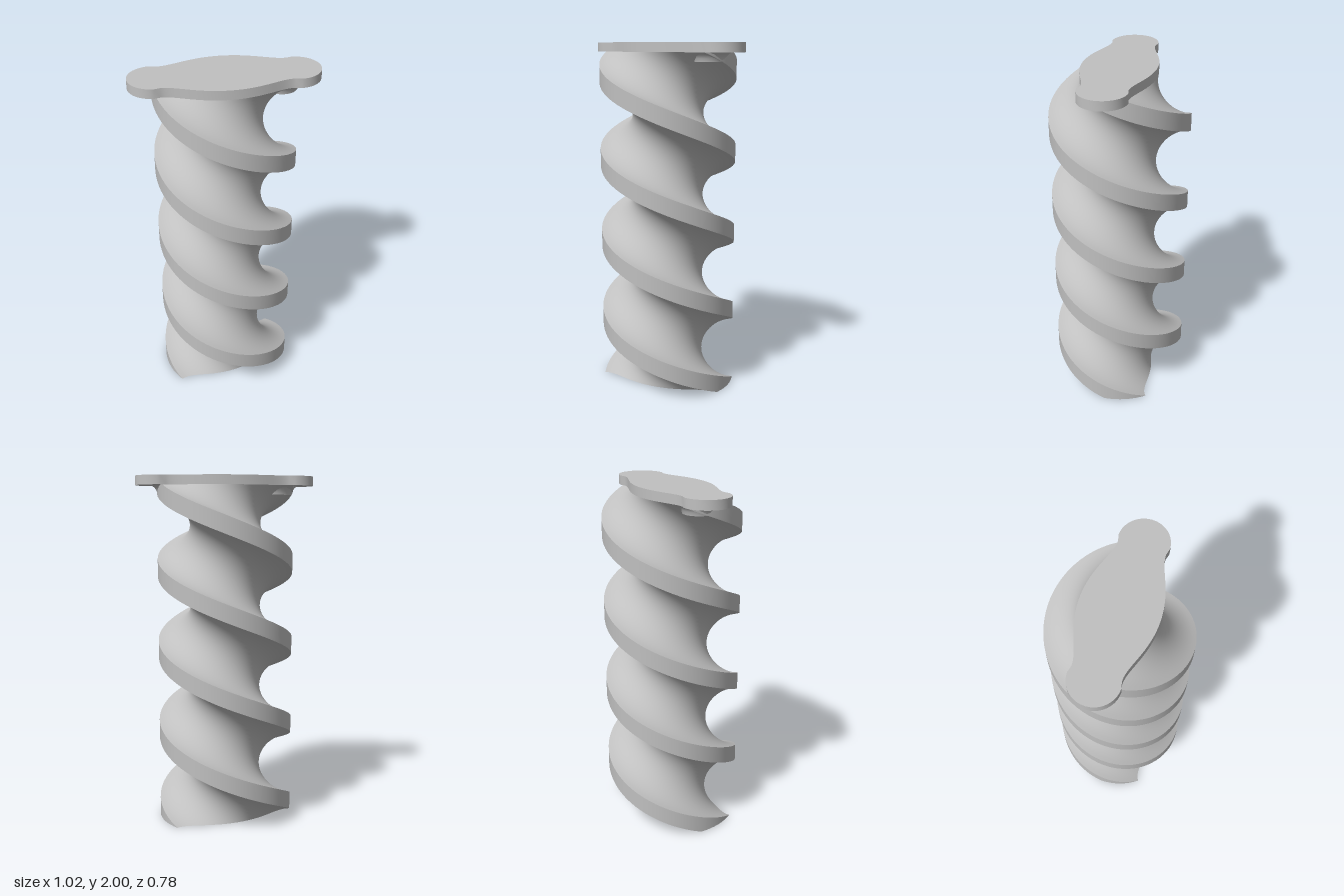
import * as THREE from 'three';
import { toCreasedNormals } from 'three/addons/utils/BufferGeometryUtils.js';

const R = 0.39;            // outer radius of the ridges
const GROOVE = 0.187;      // radius of the round groove
const TURN = Math.PI / 0.475; // twist per unit of height (two starts)
const CAP_Y = 1.947;       // underside of the cap
const HALF_LAND = Math.PI / 2 - GROOVE * TURN; // half angle of a ridge face

// Radius of the cross-section at angle s, with ridges at 0 and PI
function radiusAt(s) {
  const a = ((s % Math.PI) + Math.PI) % Math.PI - Math.PI / 2;
  const u = a / TURN;
  return R - Math.sqrt(Math.max(0, GROOVE * GROOVE - u * u));
}

// Angles across one groove, denser near its steep walls
function grooveAngles(start, n = 28) {
  return Array.from({ length: n + 1 }, (_, i) =>
    start + Math.PI / 2 - GROOVE * TURN * Math.cos((Math.PI * i) / n));
}

// A twisted strip running up the shaft through the given angles
function helixStrip(angles) {
  const nx = angles.length - 1;
  const ny = 150;
  const geo = new THREE.PlaneGeometry(1, 1, nx, ny);
  const p = geo.attributes.position;
  for (let j = 0; j <= ny; j++) {
    for (let i = 0; i <= nx; i++) {
      const y = CAP_Y * (1 - j / ny);
      const s = angles[nx - i];
      const phi = s + (y - CAP_Y) * TURN;
      const r = radiusAt(s);
      p.setXYZ(j * (nx + 1) + i, r * Math.cos(phi), y, r * Math.sin(phi));
    }
  }
  geo.computeVertexNormals();
  return geo;
}

const polar = (s, r, cx = 0) => new THREE.Vector2(cx + r * Math.cos(s), r * Math.sin(s));

export function createModel() {
  const model = new THREE.Group();
  const grey = new THREE.MeshStandardMaterial({ color: 0xc0c0c0 });
  grey.name = 'plain grey';
  const add = (name, geo) => {
    const mesh = new THREE.Mesh(geo, grey);
    mesh.name = name;
    model.add(mesh);
    return mesh;
  };

  const sectionPoints = [];
  const capPoints = [];
  for (const start of [0, Math.PI]) {
    // Ridge faces and round grooves
    const land = Array.from({ length: 9 }, (_, i) => start + HALF_LAND * (i / 4 - 1));
    const groove = grooveAngles(start);
    add('helicalRidge', helixStrip(land));
    add('helicalGroove', helixStrip(groove));

    // Outline of the lower end face, turned by the twist
    for (const s of [...land, ...groove.slice(1, -1)]) {
      sectionPoints.push(polar(s - CAP_Y * TURN, radiusAt(s)));
    }

    // Outline of the cap: round lug, then the groove curve
    const cx = start ? -0.38 : 0.38;
    for (let i = 0; i <= 20; i++) {
      capPoints.push(polar(start + THREE.MathUtils.degToRad(-90 + 9 * i), 0.132, cx));
    }
    for (const s of groove.slice(1, -1)) capPoints.push(polar(s, radiusAt(s)));
  }

  // Flat lower end with the bore opening
  const boreRadius = 0.125;
  const end = new THREE.Shape(sectionPoints);
  end.holes.push(new THREE.Path().absarc(0, 0, boreRadius, 0, Math.PI * 2, true));
  add('lowerEnd', new THREE.ShapeGeometry(end, 24).rotateX(Math.PI / 2));

  // Blind bore, facing inwards
  const bore = new THREE.LatheGeometry([
    new THREE.Vector2(0, 1.7),
    new THREE.Vector2(boreRadius, 1.7),
    new THREE.Vector2(boreRadius, 0),
  ], 48);
  add('bore', toCreasedNormals(bore, 0.6));

  // Cap plate with two rounded lugs
  const cap = new THREE.ExtrudeGeometry(new THREE.Shape(capPoints), {
    depth: 2 - CAP_Y, bevelEnabled: false,
  });
  cap.rotateX(-Math.PI / 2).translate(0, CAP_Y, 0);
  add('capPlate', toCreasedNormals(cap, 0.6));

  // Small fillets blending the lugs into the ridges
  const fillet = [[0, 1.895], [0.088, 1.895], [0.092, 1.915], [0.103, 1.933], [0.125, CAP_Y + 0.002]]
    .map(([x, y]) => new THREE.Vector2(x, y));
  for (const side of [-1, 1]) {
    const geo = toCreasedNormals(new THREE.LatheGeometry(fillet, 32), 0.8);
    add('lugFillet', geo).position.x = side * 0.3;
  }

  return model;
}
